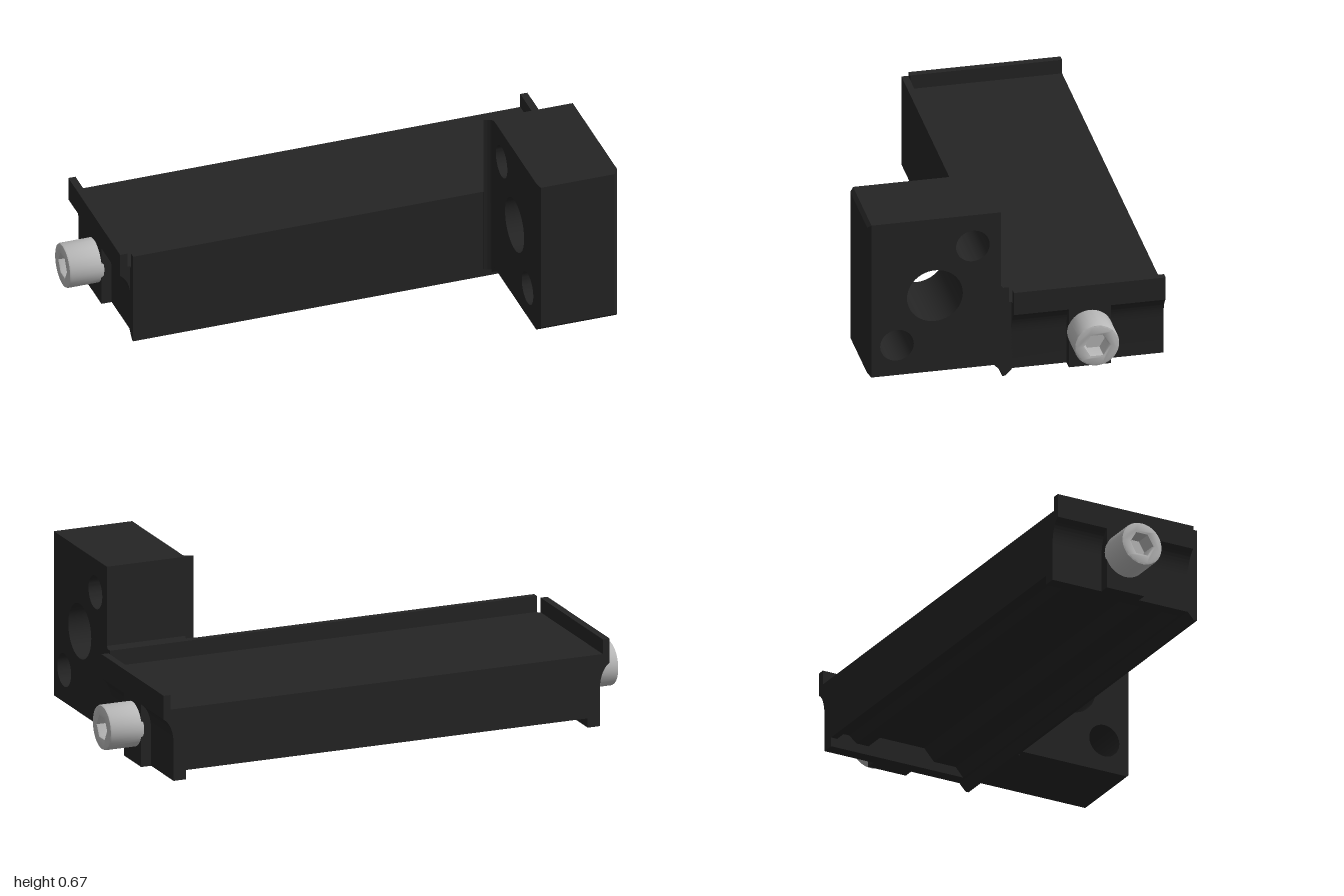
import * as THREE from 'three';
import { toCreasedNormals } from 'three/addons/utils/BufferGeometryUtils.js';

const black = new THREE.MeshStandardMaterial({ color: 0x242424 });
const steel = new THREE.MeshStandardMaterial({ color: 0xb8b8b8 });

function add(parent, name, geometry, material = black) {
  const mesh = new THREE.Mesh(geometry, material);
  mesh.name = name;
  parent.add(mesh);
  return mesh;
}

const polygon = (points) => new THREE.Shape(points.map(([x, y]) => new THREE.Vector2(x, y)));

function extrude(shape, depth, options = {}) {
  const geo = new THREE.ExtrudeGeometry(shape, { depth, bevelEnabled: false, curveSegments: 24, ...options });
  return toCreasedNormals(geo, 0.5);
}

// Extrudes a (z, y) section along x, from x0 to x1
const extrudeX = (shape, x0, x1) => extrude(shape, x1 - x0).rotateY(-Math.PI / 2).translate(x1, 0, 0);

// Socket-head screw pointing along +x, starting at x = 0
function makeScrew() {
  const screw = new THREE.Group();
  screw.name = 'screw';
  const bevel = 0.008, length = 0.135;
  const head = new THREE.Shape().absarc(0, 0, 0.083, 0, Math.PI * 2);
  const hex = [];
  for (let i = 0; i < 6; i++) {
    const a = -i * Math.PI / 3;
    hex.push(new THREE.Vector2(0.045 * Math.cos(a), 0.045 * Math.sin(a)));
  }
  head.holes.push(new THREE.Path(hex).closePath());
  const headGeo = extrude(head, length - 2 * bevel, {
    bevelEnabled: true, bevelThickness: bevel, bevelSize: bevel, bevelOffset: -bevel, bevelSegments: 2,
  });
  add(screw, 'screwHead', headGeo.translate(0, 0, bevel).rotateY(Math.PI / 2), steel);
  add(screw, 'socketFloor', new THREE.CircleGeometry(0.06, 24).rotateY(Math.PI / 2).translate(0.07, 0, 0), steel);
  return screw;
}

// End plate with raised rim, undercut flanks, centre boss and screw
function makeEnd() {
  const end = new THREE.Group();
  end.name = 'endAssembly';
  const profile = new THREE.Shape();
  profile.moveTo(0.79, 0.03);
  profile.lineTo(0.838, 0.03);
  profile.lineTo(0.838, 0.17);
  profile.quadraticCurveTo(0.84, 0.24, 0.877, 0.265);
  profile.lineTo(0.877, 0.355);
  profile.lineTo(0.85, 0.355);
  profile.lineTo(0.85, 0.3);
  profile.lineTo(0.79, 0.3);
  add(end, 'endPlate', extrude(profile, 0.56).translate(0, 0, -0.28));
  add(end, 'screwBoss', new THREE.BoxGeometry(0.05, 0.235, 0.155).translate(0.852, 0.1475, 0));
  const screw = makeScrew();
  screw.position.set(0.865, 0.172, 0);
  end.add(screw);
  return end;
}

export function createModel() {
  const model = new THREE.Group();
  model.name = 'railClampMount';

  // Main deck, its underside raised above the end plates and grooved lengthwise
  const deck = polygon([
    [0.02, 0.3], [-0.545, 0.3], [-0.545, 0.065], [-0.52, 0.065], [-0.5, 0.09], [-0.47, 0.09], [-0.44, 0.065],
    [-0.39, 0.065], [-0.36, 0.11], [-0.16, 0.11], [-0.12, 0.065], [-0.03, 0.065], [0, 0.03], [0.02, 0.03],
  ]);
  add(model, 'deck', extrudeX(deck, -0.8, 0.8));

  // Front jaw with upper lip and pointed lower edge
  const jaw = polygon([
    [0.05, 0.36], [0.025, 0.36], [0.025, 0.3], [0.012, 0.3], [0.012, 0.03], [0.038, 0.002], [0.05, 0.002],
  ]);
  add(model, 'frontJaw', extrudeX(jaw, -0.84, 0.838));

  // Matching ends
  for (const turn of [0, Math.PI]) {
    const end = makeEnd();
    end.position.z = -0.265;
    end.rotation.y = turn;
    model.add(end);
  }

  // Side block with three cross holes and a rounded root at the jaw
  const block = polygon([
    [0.055, 0.668], [0.055, 0.37], [0.045, 0.358], [0.045, 0.01], [0.052, 0.015], [0.06, 0.03], [0.075, 0.045],
    [0.08, 0.05], [0.532, 0.05], [0.532, 0.668],
  ]);
  for (const [z, y, r] of [[0.158, 0.543, 0.062], [0.298, 0.357, 0.103], [0.438, 0.171, 0.062]]) {
    block.holes.push(new THREE.Path().absarc(z, y, r, 0, Math.PI * 2, true));
  }
  add(model, 'sideBlock', extrudeX(block, 0.53, 0.838));

  // Chamfered front cap of the block
  const cap = new THREE.BoxGeometry(0.308, 0.618, 0.013);
  const corners = cap.attributes.position;
  for (let i = 0; i < corners.count; i++) {
    if (corners.getZ(i) > 0) {
      corners.setX(i, corners.getX(i) - Math.sign(corners.getX(i)) * 0.013);
      corners.setY(i, corners.getY(i) - Math.sign(corners.getY(i)) * 0.013);
    }
  }
  cap.computeVertexNormals();
  add(model, 'blockFrontCap', cap.translate(0.684, 0.359, 0.5385));

  // Curved fillet joining block and jaw, full block height
  const fillet = new THREE.Shape();
  fillet.moveTo(0.535, -0.055);
  fillet.lineTo(0.535, -0.09);
  fillet.quadraticCurveTo(0.53, -0.062, 0.497, -0.057);
  fillet.lineTo(0.497, -0.055);
  fillet.closePath();
  add(model, 'blockFillet', extrude(fillet, 0.633).rotateX(-Math.PI / 2).translate(0, 0.035, 0));

  // Web closing the gap between fillet and jaw face
  add(model, 'filletWeb', new THREE.BoxGeometry(0.04, 0.325, 0.012).translate(0.517, 0.1975, 0.05));

  return model;
}
